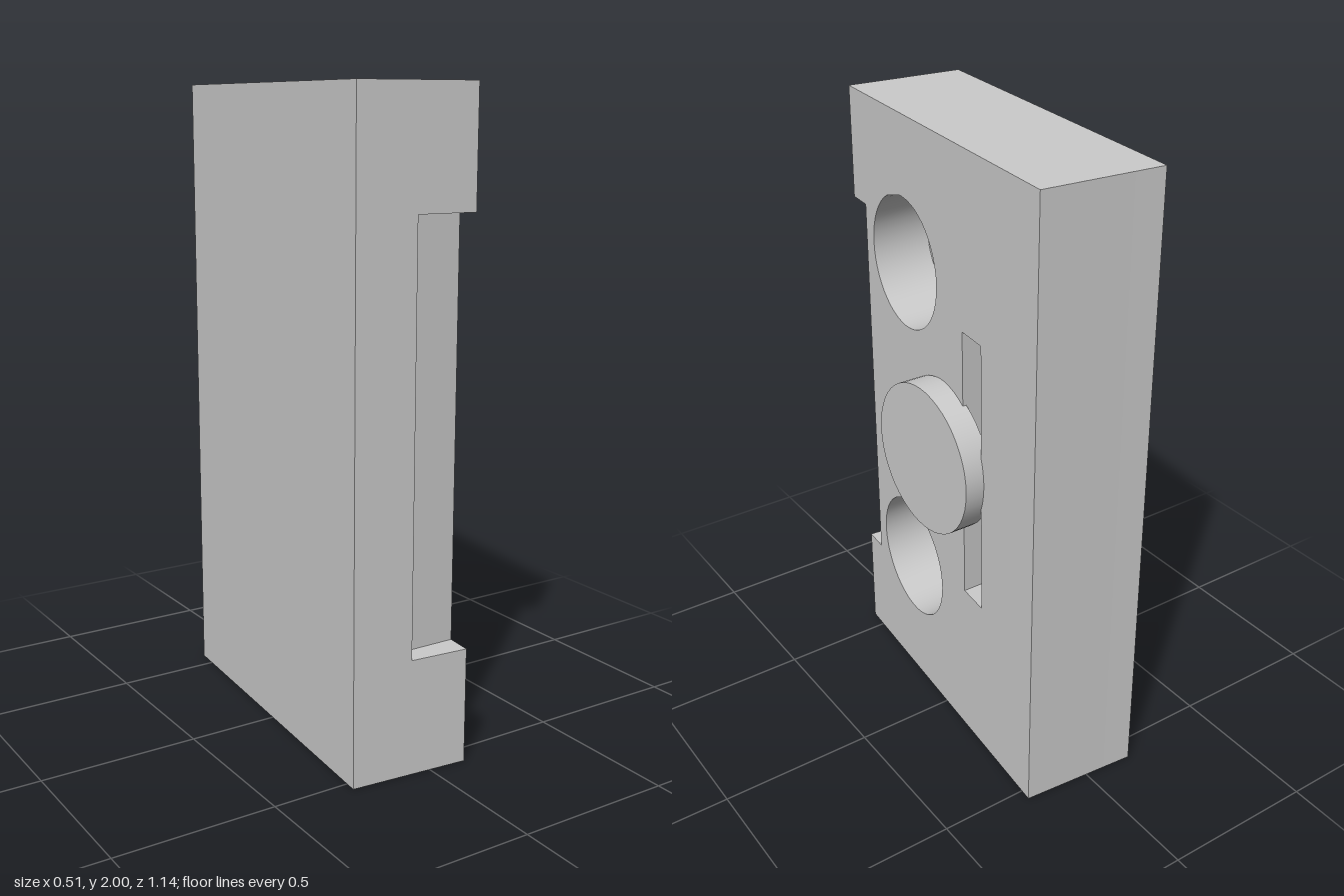
import * as THREE from 'three';
import { toCreasedNormals } from 'three/addons/utils/BufferGeometryUtils.js';

// Plan corners of the slightly turned slab, as [x, z]
const BACK_RIGHT = [-0.163, -0.572], BACK_LEFT = [0.217, -0.5395];
const FRONT_LEFT = [0.121, 0.5705], FRONT_RIGHT = [-0.259, 0.5375];
const SLOPE = 0.0868;      // tangent of the slab's turn
const FLOOR_X = -0.067;    // depth reached by every recess
const HEIGHT = 2;
const END = 0.7;           // stand-in for the slanted slab ends

const frontZ = x => FRONT_RIGHT[1] + (x - FRONT_RIGHT[0]) * SLOPE;
const backZ = x => BACK_RIGHT[1] + (x - BACK_RIGHT[0]) * SLOPE;
const faceX = z => FRONT_LEFT[0] - (z - FRONT_LEFT[1]) * SLOPE;

// Closed outline from [z, y] pairs, drawn so that depth later points to +x
const outline = (Type, pts) => new Type(pts.map(([z, y]) => new THREE.Vector2(-z, y)));

function recessedLayer() {
  // Outline with the long notch in its front edge
  const shape = outline(THREE.Shape, [
    [END, 0], [-END, 0], [-END, HEIGHT], [END, HEIGHT],
    [END, 1.645], [0.487, 1.645], [0.487, 0.36], [END, 0.36],
  ]);
  // Two round pockets and a narrow slot
  for (const y of [0.467, 1.54]) {
    shape.holes.push(new THREE.Path().absarc(-0.228, y, 0.209, 0, Math.PI * 2, true));
  }
  shape.holes.push(outline(THREE.Path, [[-0.135, 0.55], [-0.135, 1.455], [-0.243, 1.455], [-0.243, 0.55]]));

  const geo = new THREE.ExtrudeGeometry(shape, { depth: 1, bevelEnabled: false, curveSegments: 24 });
  geo.rotateY(Math.PI / 2);
  // Slide the vertices onto the slanted face and ends
  const p = geo.attributes.position;
  for (let i = 0; i < p.count; i++) {
    const outer = p.getX(i) > 0.5;
    let z = p.getZ(i);
    if (z > 0.65) z = outer ? FRONT_LEFT[1] : frontZ(FLOOR_X);
    else if (z < -0.65) z = outer ? BACK_LEFT[1] : backZ(FLOOR_X);
    p.setX(i, outer ? faceX(z) : FLOOR_X);
    p.setZ(i, z);
  }
  return toCreasedNormals(geo, 0.4);
}

function backingBlock() {
  const plan = [BACK_RIGHT, FRONT_RIGHT, [FLOOR_X, frontZ(FLOOR_X)], [FLOOR_X, backZ(FLOOR_X)]];
  const shape = new THREE.Shape(plan.map(([x, z]) => new THREE.Vector2(x, -z)));
  const geo = new THREE.ExtrudeGeometry(shape, { depth: HEIGHT, bevelEnabled: false });
  return geo.rotateX(-Math.PI / 2);
}

export function createModel() {
  const model = new THREE.Group();
  model.name = 'recessedSlab';
  const material = new THREE.MeshStandardMaterial({ color: 0xcccccc });
  const add = (name, geo) => {
    const mesh = new THREE.Mesh(geo, material);
    mesh.name = name;
    model.add(mesh);
    return mesh;
  };

  add('backingBlock', backingBlock());
  add('recessedLayer', recessedLayer());

  // Raised disc, square to the axes and partly sunk in the slanted face
  const disc = add('disc', new THREE.CylinderGeometry(0.2425, 0.2425, 0.086, 48));
  disc.rotation.z = -Math.PI / 2;
  disc.position.set(0.213, 1.003, -0.017);
  return model;
}
